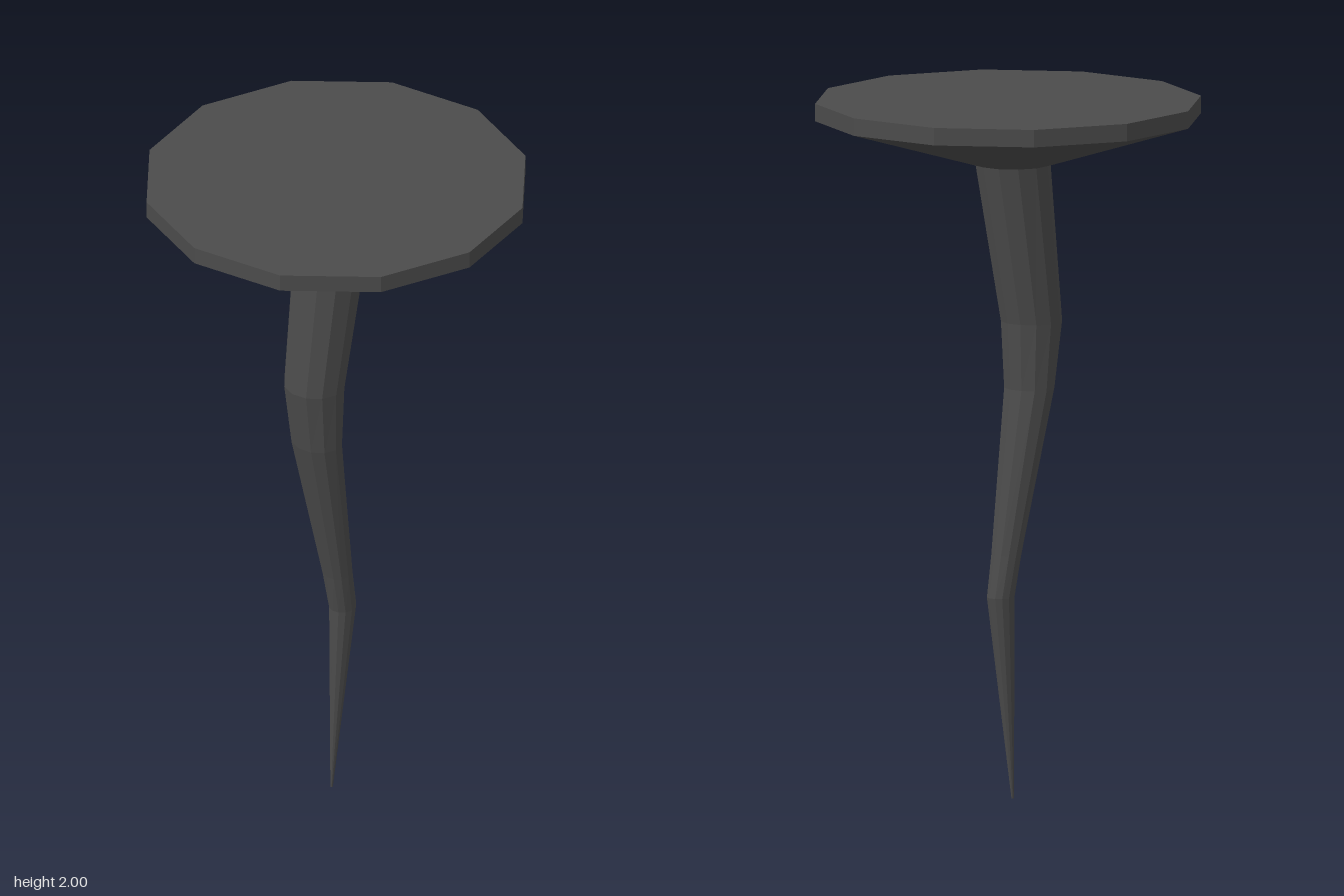
import * as THREE from 'three';

const SIDES = 12;

// Flat-shaded skin through horizontal rings [y, centre z, radius x, radius z], listed bottom to top
function loft(rings, capTop, capBottom) {
  const pos = [], index = [];
  for (const [y, z, rx, rz] of rings) {
    for (let i = 0; i < SIDES; i++) {
      const a = (i / SIDES) * Math.PI * 2;
      pos.push(rx * Math.sin(a), y, z + rz * Math.cos(a));
    }
  }
  for (let r = 0; r < rings.length - 1; r++) {
    for (let i = 0; i < SIDES; i++) {
      const j = (i + 1) % SIDES;
      const a = r * SIDES + i, b = r * SIDES + j;
      index.push(a, b, b + SIDES, a, b + SIDES, a + SIDES);
    }
  }
  const top = (rings.length - 1) * SIDES;
  for (let i = 1; i < SIDES - 1; i++) {
    if (capTop) index.push(top, top + i, top + i + 1);
    if (capBottom) index.push(0, i + 1, i);
  }
  const geometry = new THREE.BufferGeometry();
  geometry.setAttribute('position', new THREE.Float32BufferAttribute(pos, 3));
  geometry.setIndex(index);
  const flat = geometry.toNonIndexed();
  flat.computeVertexNormals();
  return flat;
}

export function createModel() {
  const group = new THREE.Group();
  group.name = 'bentNail';
  const iron = new THREE.MeshStandardMaterial({ color: 0x4b4b4b, flatShading: true });
  iron.name = 'darkIron';

  // Crooked shank tapering to a point
  const shank = new THREE.Mesh(loft([
    [0, 0.017, 0.003, 0.004],
    [0.58, -0.026, 0.038, 0.04],
    [0.7, -0.006, 0.045, 0.042],
    [1.17, 0.076, 0.08, 0.068],
    [1.36, 0.084, 0.09, 0.086],
    [1.815, 0.018, 0.107, 0.107],
  ], false, true), iron);
  shank.name = 'shank';

  // Broad head: flared underside, thin rim and flat top
  const head = new THREE.Mesh(loft([
    [1.815, 0.018, 0.107, 0.107],
    [1.95, 0, 0.55, 0.55],
    [2, 0, 0.55, 0.55],
  ], true, false), iron);
  head.name = 'head';

  group.add(shank, head);
  return group;
}
